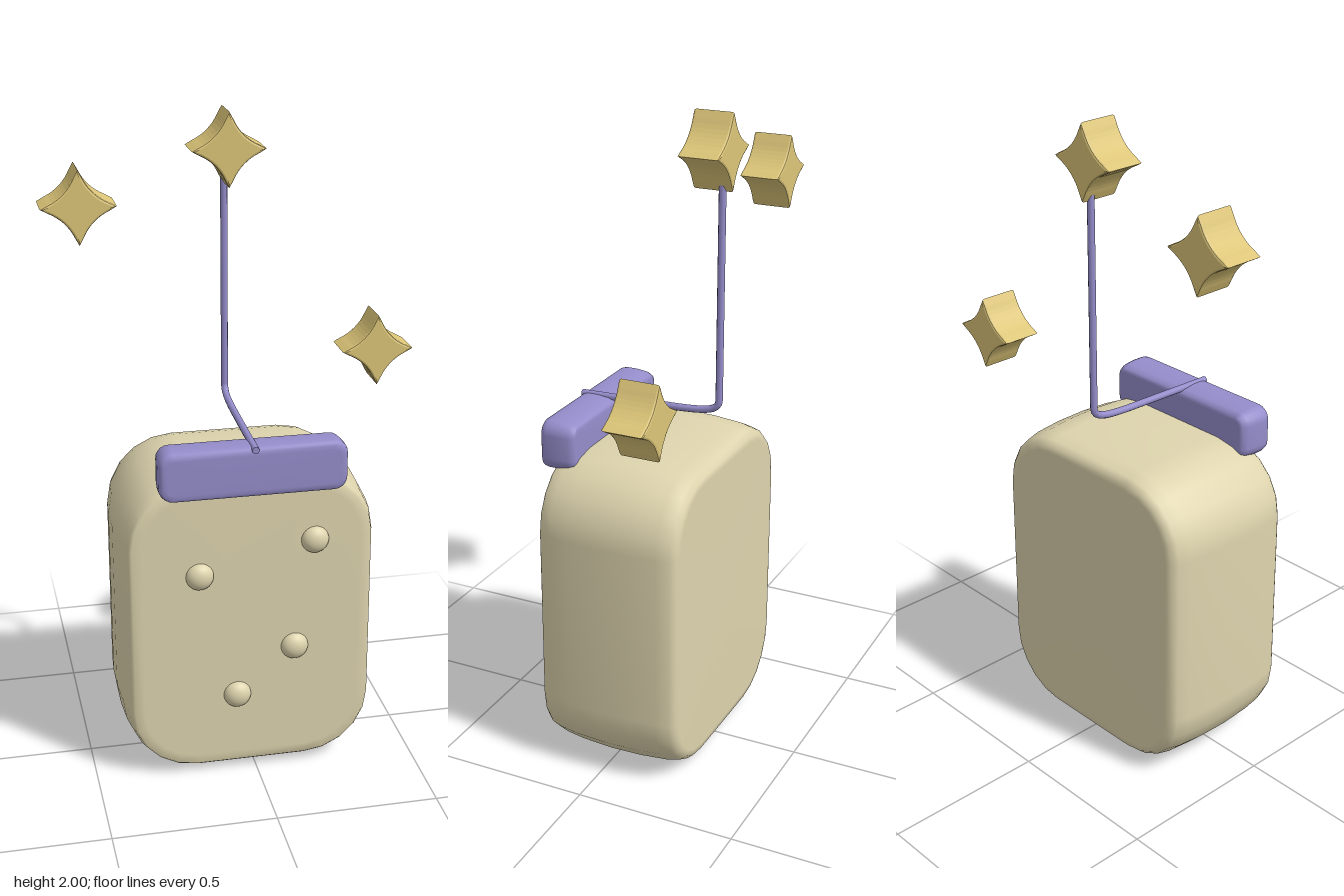
import * as THREE from 'three';

const paint = (color) => new THREE.MeshStandardMaterial({ color });
const cream = paint(0xded4ae);
const violet = paint(0x958dcb);
const gold = paint(0xdcc578);

// Rounded-rectangle outline, counter-clockwise, drawn in by an inset
function outline(halfW, halfH, radius, inset, steps) {
  const points = [];
  const r = Math.max(radius - inset, radius * 0.3);
  const cx = halfW - inset - r, cy = halfH - inset - r;
  [[1, 1], [-1, 1], [-1, -1], [1, -1]].forEach(([sx, sy], q) => {
    for (let i = 0; i <= steps; i++) {
      const a = (q + i / steps) * Math.PI / 2;
      points.push([sx * cx + Math.cos(a) * r, sy * cy + Math.sin(a) * r]);
    }
  });
  return points;
}

// Pillow-like block lofted through [z, inset] sections from back to front
function softBlock(halfW, halfH, radius, sections, steps) {
  const pos = [], index = [];
  const n = 4 * (steps + 1);
  for (const [z, inset] of sections) {
    for (const [x, y] of outline(halfW, halfH, radius, inset, steps)) pos.push(x, y, z);
  }
  for (let s = 0; s < sections.length - 1; s++) {
    for (let i = 0; i < n; i++) {
      const j = (i + 1) % n, a = s * n, b = a + n;
      index.push(a + i, a + j, b + j, a + i, b + j, b + i);
    }
  }
  // End caps
  const last = (sections.length - 1) * n, back = pos.length / 3, front = back + 1;
  pos.push(0, 0, sections[0][0], 0, 0, sections[sections.length - 1][0]);
  for (let i = 0; i < n; i++) {
    const j = (i + 1) % n;
    index.push(back, j, i, front, last + i, last + j);
  }
  const g = new THREE.BufferGeometry();
  g.setAttribute('position', new THREE.Float32BufferAttribute(pos, 3));
  g.setIndex(index);
  g.computeVertexNormals();
  return g;
}

// Four-pointed star with hollow sides
function starGeometry() {
  const tip = 0.103, waist = 0.027, bevel = 0.007;
  const shape = new THREE.Shape();
  shape.moveTo(tip, 0);
  for (let q = 0; q < 4; q++) {
    const a = q * Math.PI / 2, m = a + Math.PI / 4, b = a + Math.PI / 2;
    const r = waist * Math.SQRT2;
    shape.quadraticCurveTo(Math.cos(m) * r, Math.sin(m) * r, Math.cos(b) * tip, Math.sin(b) * tip);
  }
  const g = new THREE.ExtrudeGeometry(shape, {
    depth: 0.125 - 2 * bevel, bevelEnabled: true, bevelThickness: bevel,
    bevelSize: bevel, bevelSegments: 2, curveSegments: 10,
  });
  g.translate(0, 0, -0.0625 + bevel);
  return g;
}

export function createModel() {
  const model = new THREE.Group();
  const add = (name, geometry, material, x = 0, y = 0, z = 0) => {
    const mesh = new THREE.Mesh(geometry, material);
    mesh.name = name;
    mesh.position.set(x, y, z);
    model.add(mesh);
    return mesh;
  };

  // Body
  add('body', softBlock(0.395, 0.5, 0.225, [
    [-0.25, 0.055], [-0.247, 0.035], [-0.23, 0.02], [-0.19, 0.01], [-0.1, 0.002],
    [0, 0], [0.1, 0.005], [0.16, 0.013], [0.19, 0.022], [0.2, 0.03], [0.202, 0.06],
  ], 5), cream, -0.014, 0.5, 0);

  // Dots on the front
  const dot = new THREE.SphereGeometry(0.043, 24, 16);
  [[-0.175, 0.68], [0.18, 0.77], [0.12, 0.415], [-0.06, 0.265]].forEach(([x, y], i) => {
    add(`dot${i + 1}`, dot, cream, x, y, 0.2).scale.z = 0.75;
  });

  // Bar across the top front edge
  add('crossbar', softBlock(0.284, 0.078, 0.042, [
    [-0.055, 0.025], [-0.052, 0.012], [-0.035, 0.004], [0, 0],
    [0.035, 0], [0.05, 0.004], [0.055, 0.012], [0.056, 0.025],
  ], 5), violet, -0.014, 1.018, 0.185);

  // Bent rod: back over the body, then straight up to the star
  const path = new THREE.CurvePath();
  const p = (y, z) => new THREE.Vector3(-0.013, y, z);
  path.add(new THREE.LineCurve3(p(1.09, 0.245), p(1.098, -0.08)));
  path.add(new THREE.CubicBezierCurve3(p(1.098, -0.08), p(1.102, -0.17), p(1.108, -0.215), p(1.14, -0.216)));
  path.add(new THREE.LineCurve3(p(1.14, -0.216), p(1.8, -0.216)));
  add('rod', new THREE.TubeGeometry(path, 90, 0.011, 10), violet);
  const end = new THREE.CircleGeometry(0.011, 10);
  add('rodFrontEnd', end, violet, -0.013, 1.09, 0.245);
  add('rodTopEnd', end, violet, -0.013, 1.8, -0.216).rotation.x = -Math.PI / 2;

  // Stars
  const star = starGeometry();
  add('topStar', star, gold, -0.013, 1.89, -0.187);
  add('rightStar', star, gold, -0.461, 1.74, -0.187);
  add('leftStar', star, gold, 0.459, 1.243, -0.187);

  return model;
}
